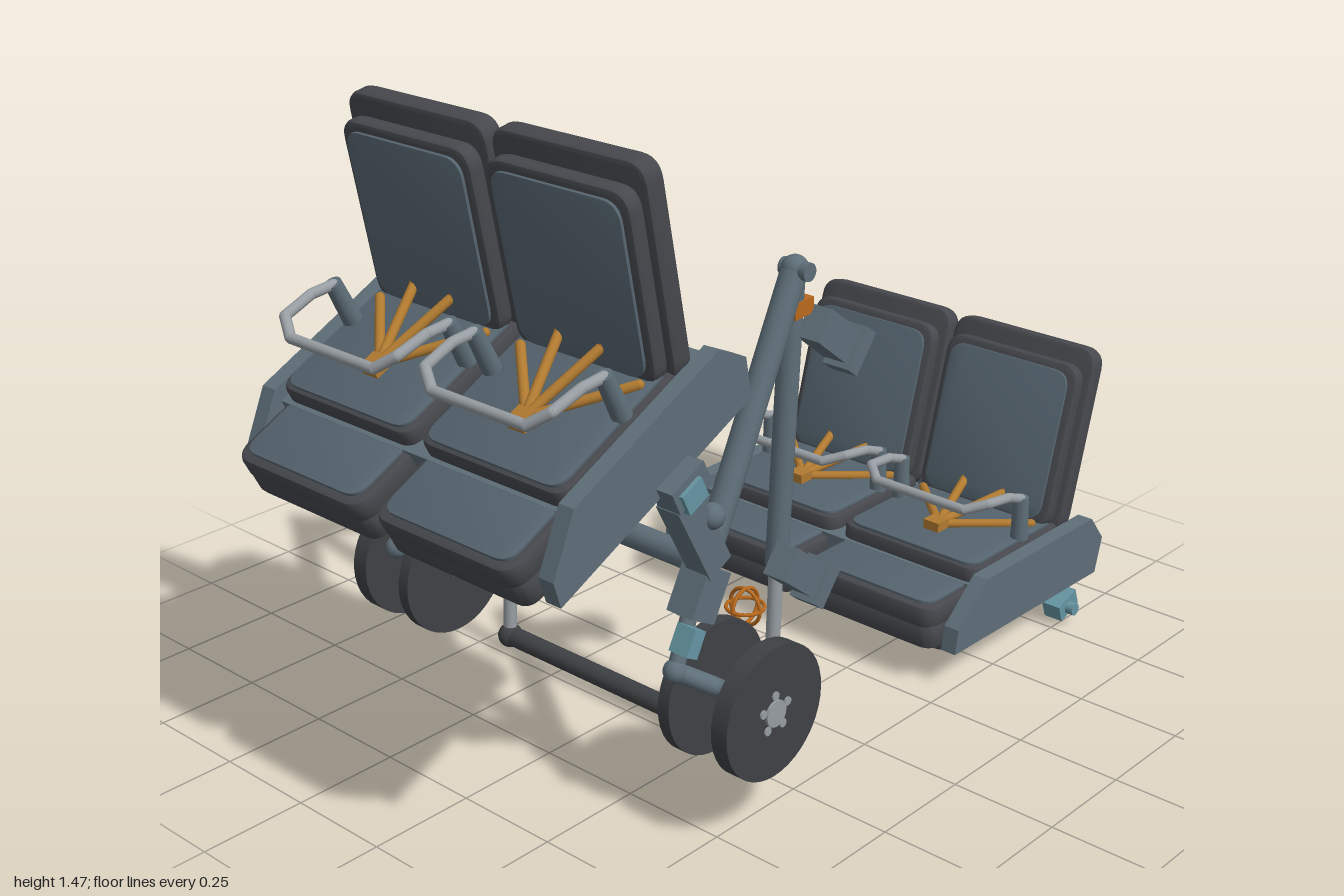
import * as THREE from 'three';
import { toCreasedNormals } from 'three/addons/utils/BufferGeometryUtils.js';

const paint = (name, color) => Object.assign(new THREE.MeshStandardMaterial({ color }), { name });
const M = {
  steel: paint('blue grey steel', 0x5e6e78),
  cushion: paint('charcoal cushion', 0x46484d),
  inlay: paint('slate seat fabric', 0x566570),
  rubber: paint('dark disc', 0x3e4144),
  chrome: paint('light metal', 0x979da2),
  teal: paint('teal latch', 0x6595a2),
  strap: paint('orange strap', 0xb07a30),
  orange: paint('orange fitting', 0xb9691c),
};
const V = (x, y, z) => new THREE.Vector3(x, y, z);
const rad = THREE.MathUtils.degToRad;

function add(parent, name, geo, mat, x = 0, y = 0, z = 0, rz = 0) {
  const m = new THREE.Mesh(geo, mat);
  m.name = name;
  m.position.set(x, y, z);
  m.rotation.z = rad(rz);
  parent.add(m);
  return m;
}

function bar(parent, name, a, b, r, mat, r2 = r) {
  const d = b.clone().sub(a);
  const m = add(parent, name, new THREE.CylinderGeometry(r2, r, d.length(), 16), mat);
  m.position.copy(a).add(b).multiplyScalar(0.5);
  m.quaternion.setFromUnitVectors(V(0, 1, 0), d.normalize());
  return m;
}

// A chain of straight tubes with round elbows
function pipe(parent, name, pts, r, mat) {
  const g = new THREE.Group();
  g.name = name;
  pts.forEach((p, i) => {
    add(g, name + 'Joint', new THREE.SphereGeometry(r, 10, 8), mat, p.x, p.y, p.z);
    if (i) bar(g, name + 'Tube', pts[i - 1], p, r, mat);
  });
  parent.add(g);
}

// Rounded rectangle slab centred on the origin, thin along z
function slab(w, h, t, r, bevel = Math.min(0.012, t * 0.3)) {
  const s = new THREE.Shape(), x = w / 2, y = h / 2;
  s.moveTo(-x + r, -y).lineTo(x - r, -y).quadraticCurveTo(x, -y, x, -y + r);
  s.lineTo(x, y - r).quadraticCurveTo(x, y, x - r, y);
  s.lineTo(-x + r, y).quadraticCurveTo(-x, y, -x, y - r);
  s.lineTo(-x, -y + r).quadraticCurveTo(-x, -y, -x + r, -y);
  const g = new THREE.ExtrudeGeometry(s, {
    depth: t - 2 * bevel, bevelThickness: bevel, bevelSize: bevel, bevelOffset: -bevel,
    bevelSegments: 2, curveSegments: 6,
  });
  g.translate(0, 0, -t / 2 + bevel);
  return toCreasedNormals(g, 0.6);
}
const upright = (...a) => slab(...a).rotateY(Math.PI / 2);
const flat = (...a) => slab(...a).rotateX(-Math.PI / 2);

// Side profile pulled along z
function profile(points, width) {
  const s = new THREE.Shape(points.map(p => new THREE.Vector2(...p)));
  return new THREE.ExtrudeGeometry(s, { depth: width, bevelEnabled: false }).translate(0, 0, -width / 2);
}

function createSeat(name) {
  const outer = new THREE.Group(), g = new THREE.Group();
  outer.name = name;
  g.name = name + 'Body';
  g.position.set(-0.4625, -0.243, 0);
  outer.add(g);

  // Base tub, side panels and padded underside
  const side = [[0.46, 0.243], [0.35, 0.15], [0.34, 0.09], [0.94, 0.085], [0.965, 0.174], [0.91, 0.243]];
  for (const s of [1, -1]) add(g, 'sidePanel', profile(side, 0.04), M.steel, 0, 0, s * 0.443);
  add(g, 'base', profile([[0.46, 0.21], [0.46, 0.12], [0.93, 0.12], [0.945, 0.174], [0.9, 0.215]], 0.85), M.steel);
  add(g, 'underside', flat(0.6, 0.84, 0.075, 0.03, 0.02), M.cushion, 0.65, 0.108, 0);
  add(g, 'rearPad', profile([[0.9, 0.08], [0.945, 0.07], [0.965, 0.1], [0.955, 0.15], [0.9, 0.15]], 0.82), M.cushion);
  add(g, 'backBracket', new THREE.BoxGeometry(0.06, 0.09, 0.045), M.steel, 0.87, 0.21, 0);

  for (const zc of [0.217, -0.217]) {
    // Seat pan with a lower knee cushion in front
    add(g, 'kneeCushionLower', flat(0.22, 0.4, 0.065, 0.04), M.cushion, 0.415, 0.125, zc);
    add(g, 'kneeCushionUpper', flat(0.23, 0.4, 0.055, 0.05), M.cushion, 0.415, 0.175, zc);
    add(g, 'kneeInlay', flat(0.19, 0.36, 0.009, 0.04), M.inlay, 0.415, 0.205, zc);
    add(g, 'panCushion', flat(0.37, 0.41, 0.06, 0.04), M.cushion, 0.655, 0.217, zc);
    add(g, 'panInlay', flat(0.35, 0.38, 0.009, 0.04), M.inlay, 0.655, 0.25, zc);

    // Leaning backrest
    const back = new THREE.Group();
    back.name = 'backrest';
    back.position.set(0.898, 0.442, zc);
    back.rotation.z = rad(-15.5);
    g.add(back);
    add(back, 'backShell', upright(0.42, 0.47, 0.052, 0.05), M.cushion);
    add(back, 'backPad', upright(0.39, 0.42, 0.042, 0.05), M.cushion, -0.045, -0.02, 0);
    add(back, 'backInlay', upright(0.35, 0.38, 0.009, 0.045), M.inlay, -0.069, -0.02, 0);

    // Harness
    add(g, 'buckle', new THREE.BoxGeometry(0.045, 0.025, 0.045), M.strap, 0.59, 0.266, zc);
    for (const s of [1, -1]) {
      pipe(g, 'shoulderStrap', [V(0.6, 0.265, zc), V(0.79, 0.3, zc + s * 0.06), V(0.82, 0.34, zc + s * 0.075),
        V(0.875, 0.56, zc + s * 0.095)], 0.011, M.strap);
      pipe(g, 'lapStrap', [V(0.6, 0.262, zc), V(0.76, 0.258, zc + s * 0.165)], 0.011, M.strap);
      add(g, 'barPost', new THREE.CylinderGeometry(0.019, 0.022, 0.11, 16), M.steel, 0.685, 0.305, zc + s * 0.18);
    }
    // Lap bar
    const half = s => [V(0.685, 0.355, zc + s * 0.18), V(0.63, 0.376, zc + s * 0.18),
      V(0.55, 0.385, zc + s * 0.175), V(0.515, 0.368, zc + s * 0.13)];
    pipe(g, 'lapBar', [...half(1), ...half(-1).reverse()], 0.012, M.chrome);
  }
  return outer;
}

// One side of the folding support; s is the sign of z
function createFrameSide(s) {
  const g = new THREE.Group();
  g.name = s > 0 ? 'frontFrame' : 'rearFrame';
  const P = (x, y, z) => V(x, y, s * z);
  const ball = (name, p, r, mat) => add(g, name, new THREE.SphereGeometry(r, 16, 12), mat, p.x, p.y, p.z);
  const box = (name, x, y, z, w, h, d, rz, mat) => add(g, name, new THREE.BoxGeometry(w, h, d), mat, x, y, s * z, rz);

  // Legs
  const apex = P(-0.165, 1.15, 0.41);
  bar(g, 'slantedLeg', P(-0.5, 0.49, 0.42), apex, 0.029, M.steel);
  bar(g, 'slantedLegEnd', P(-0.55, 0.39, 0.43), P(-0.49, 0.51, 0.42), 0.018, M.steel);
  ball('legEnd', P(-0.55, 0.39, 0.43), 0.026, M.steel);
  ball('apexJoint', apex, 0.03, M.steel);
  bar(g, 'apexPin', P(-0.165, 1.15, 0.38), P(-0.165, 1.15, 0.45), 0.02, M.steel);
  bar(g, 'uprightLeg', P(-0.21, 0.5, 0.41), P(-0.17, 1.13, 0.41), 0.025, M.steel);
  bar(g, 'slidingRod', P(-0.23, 0.05, 0.41), P(-0.21, 0.52, 0.41), 0.016, M.chrome);
  ball('foot', P(-0.23, 0.045, 0.41), 0.03, M.rubber);
  box('orangeCollar', -0.165, 1.07, 0.41, 0.06, 0.035, 0.055, 4, M.orange);

  // Clamp brackets on the upright leg
  for (const [x, y] of [[-0.095, 0.995], [-0.19, 0.49]]) {
    box('clamp', x, y, 0.455, 0.15, 0.075, 0.06, -38, M.steel);
    box('clampFlange', x + 0.045, y - 0.035, 0.465, 0.035, 0.1, 0.07, -38, M.steel);
  }

  // Arm that carries the seat
  box('seatArm', -0.52, 0.7, 0.455, 0.07, 0.2, 0.06, 28, M.steel);
  box('seatArmHead', -0.58, 0.83, 0.475, 0.1, 0.055, 0.06, 26, M.steel);
  box('seatLatch', -0.58, 0.815, 0.49, 0.06, 0.05, 0.05, 26, M.teal);
  ball('armKnob', P(-0.49, 0.73, 0.475), 0.028, M.steel);
  box('legSleeve', -0.495, 0.555, 0.445, 0.075, 0.11, 0.07, -28, M.steel);
  box('sleeveCatch', -0.535, 0.46, 0.45, 0.035, 0.06, 0.05, -28, M.teal);

  // Pair of discs with hub and strut
  const hub = P(-0.41, 0.29, 0.48);
  pipe(g, 'wheelStrut', [P(-0.55, 0.39, 0.43), P(-0.49, 0.35, 0.48), hub], 0.02, M.steel);
  bar(g, 'axle', P(-0.41, 0.29, 0.39), P(-0.41, 0.29, 0.575), 0.014, M.chrome);
  for (const z of [0.557, 0.405]) {
    const disc = new THREE.CylinderGeometry(0.15, 0.15, z > 0.5 ? 0.042 : 0.03, 40).rotateX(Math.PI / 2);
    add(g, 'disc', disc, M.rubber, -0.41, 0.29, s * z);
  }
  add(g, 'hubCap', new THREE.CylinderGeometry(0.03, 0.03, 0.016, 20).rotateX(Math.PI / 2), M.chrome, -0.41, 0.29, s * 0.576);
  for (let i = 0; i < 5; i++) {
    const a = Math.PI / 2 + i * Math.PI * 0.4;
    const lug = new THREE.CylinderGeometry(0.01, 0.01, 0.012, 10).rotateX(Math.PI / 2);
    add(g, 'hubLug', lug, M.chrome, -0.41 + Math.cos(a) * 0.04, 0.29 + Math.sin(a) * 0.04, s * 0.576);
  }
  return g;
}

export function createModel() {
  const model = new THREE.Group();
  model.name = 'foldingSeatRig';

  // Raised, tilted seat and lowered, level seat
  const raised = createSeat('raisedSeat');
  raised.position.set(-0.856, 0.869, 0);
  raised.rotation.z = rad(26.5);
  model.add(raised);
  const lowered = createSeat('loweredSeat');
  lowered.position.set(0.4625, 0.243, 0.036);
  model.add(lowered);

  // Latches beneath the level seat
  for (const s of [1, -1]) {
    add(model, 'floorLatch', new THREE.BoxGeometry(0.075, 0.045, 0.05), M.teal, 0.8, 0.05, 0.036 + s * 0.455, 20);
    bar(model, 'floorLatchPin', V(0.8, 0.045, 0.036 + s * 0.44), V(0.8, 0.045, 0.036 + s * 0.5), 0.016, M.teal);
  }

  // Support frame
  for (const s of [1, -1]) model.add(createFrameSide(s));
  bar(model, 'footBar', V(-0.23, 0.045, -0.41), V(-0.23, 0.045, 0.41), 0.024, M.rubber);
  bar(model, 'crossTube', V(-0.46, 0.6, -0.42), V(-0.46, 0.6, 0.42), 0.028, M.steel);

  // Small marker made of three crossed rings
  const marker = new THREE.Group();
  marker.name = 'ringMarker';
  marker.position.set(0.25, 0.055, -0.072);
  for (const [rx, ry] of [[0, 0], [Math.PI / 2, 0], [0, Math.PI / 2]]) {
    const ring = add(marker, 'ring', new THREE.TorusGeometry(0.048, 0.005, 8, 32), M.orange);
    ring.rotation.set(rx, ry, 0);
  }
  model.add(marker);
  return model;
}
